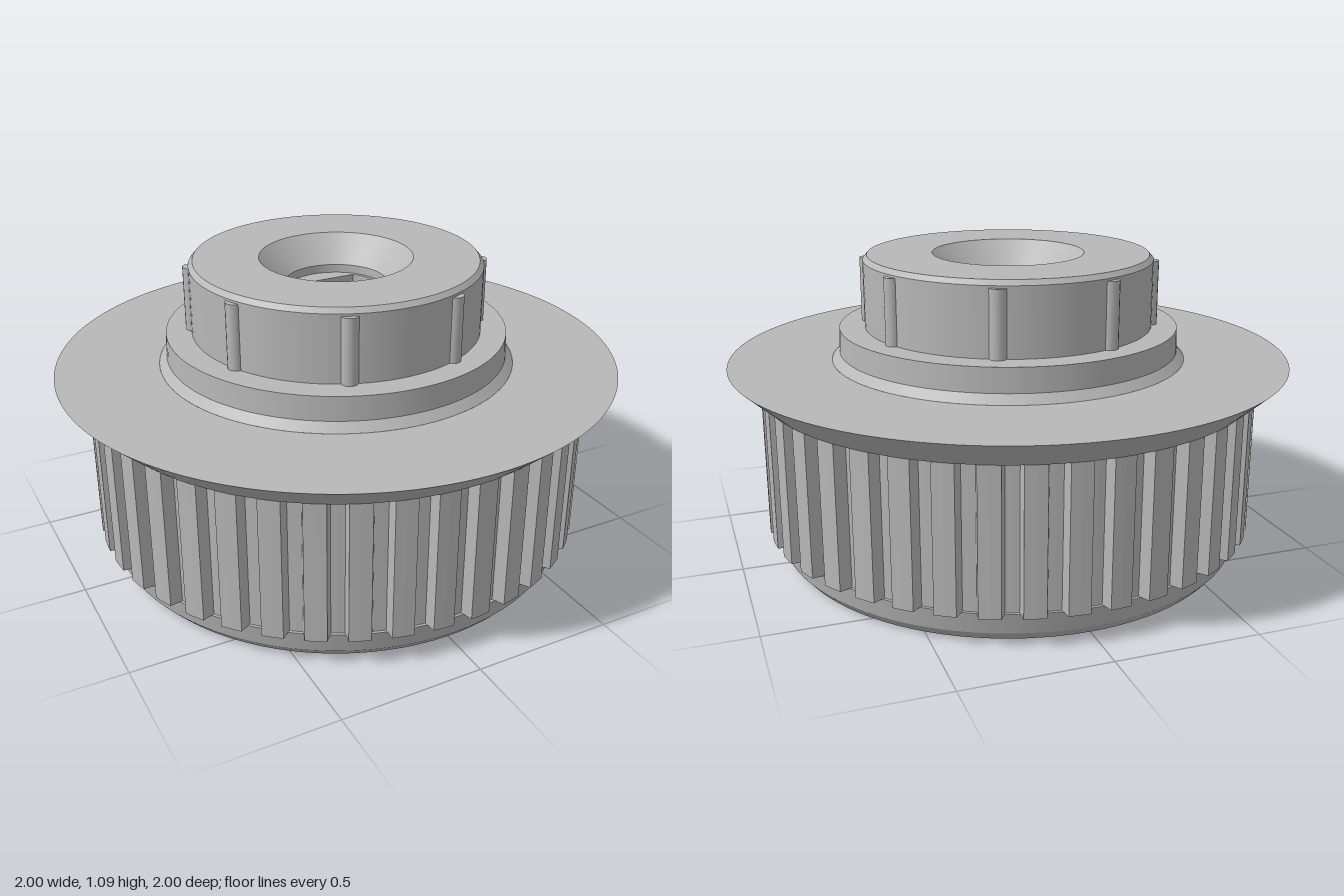
import * as THREE from 'three';
import { mergeGeometries, toCreasedNormals } from 'three/addons/utils/BufferGeometryUtils.js';

const grey = new THREE.MeshStandardMaterial({ color: 0xb8b8b8 });
grey.name = 'plain grey';

// Turned part with a sharp edge at every profile point
function turned(profile, segments = 96) {
  const bands = [];
  for (let i = 0; i < profile.length - 1; i++) {
    const pair = [profile[i], profile[i + 1]].map(([r, y]) => new THREE.Vector2(r, y));
    bands.push(new THREE.LatheGeometry(pair, segments));
  }
  return mergeGeometries(bands);
}

// Plan shape raised from y0 to y1
function raised(shape, y0, y1, curveSegments = 48) {
  return new THREE.ExtrudeGeometry(shape, { depth: y1 - y0, bevelEnabled: false, curveSegments })
    .rotateX(-Math.PI / 2).translate(0, y0, 0);
}

function disc(radius) {
  return new THREE.Shape().absarc(0, 0, radius, 0, Math.PI * 2);
}

// Round shaft hole with two flats
function shaftHole(radius, flat) {
  const a = Math.asin(flat / radius);
  const path = new THREE.Path();
  path.absarc(0, 0, radius, -a, a);
  path.absarc(0, 0, radius, Math.PI - a, Math.PI + a);
  path.closePath();
  return path;
}

// Round bore with four diagonal arms, grown by g
function crossOutline(g) {
  const half = 0.13 + g, tip = 0.74 + g, bore = 0.42 + g, steps = 14;
  const a = Math.asin(half / bore), points = [];
  for (let k = 0; k < 4; k++) {
    const t = Math.PI / 4 + k * Math.PI / 2;
    const c = Math.cos(t), s = Math.sin(t);
    for (const side of [-half, half]) {
      points.push(new THREE.Vector2(tip * c - side * s, tip * s + side * c));
    }
    for (let i = 0; i <= steps; i++) {
      const u = t + a + (Math.PI / 2 - 2 * a) * i / steps;
      points.push(new THREE.Vector2(bore * Math.cos(u), bore * Math.sin(u)));
    }
  }
  return points;
}

// Inward-facing walls through a stack of outlines
function pocketWalls(levels) {
  const pos = [];
  for (let l = 0; l < levels.length - 1; l++) {
    const [lo, y0] = levels[l], [hi, y1] = levels[l + 1];
    for (let i = 0; i < lo.length; i++) {
      const j = (i + 1) % lo.length;
      const A = [lo[i].x, y0, -lo[i].y], B = [lo[j].x, y0, -lo[j].y];
      const C = [hi[j].x, y1, -hi[j].y], D = [hi[i].x, y1, -hi[i].y];
      pos.push(...A, ...C, ...B, ...A, ...D, ...C);
    }
  }
  const geo = new THREE.BufferGeometry();
  geo.setAttribute('position', new THREE.Float32BufferAttribute(pos, 3));
  return toCreasedNormals(geo, 0.4);
}

// Belt tooth outline with a groove centred on each pitch
function toothShape(count, outer, root) {
  const points = [], pitch = Math.PI * 2 / count;
  const steps = [[-0.17, root], [0, root], [0.17, root], [0.24, outer], [0.5, outer], [0.76, outer]];
  for (let i = 0; i < count; i++) {
    for (const [f, r] of steps) {
      const t = (i + f) * pitch;
      points.push(new THREE.Vector2(r * Math.cos(t), r * Math.sin(t)));
    }
  }
  return new THREE.Shape(points);
}

export function createModel() {
  const model = new THREE.Group();
  model.name = 'toothed pulley';
  const add = (name, geometry, parent = model) => {
    const mesh = new THREE.Mesh(geometry, grey);
    mesh.name = name;
    parent.add(mesh);
    return mesh;
  };

  // Chamfered lower rim
  add('lowerRim', turned([[0.81, 0], [0.84, 0.035], [0.855, 0.11], [0.8, 0.11]]));

  // Belt teeth
  const teeth = toothShape(40, 0.89, 0.845);
  teeth.holes.push(disc(0.8));
  add('beltTeeth', raised(teeth, 0.11, 0.615));

  // Flared flange and stepped collar
  add('flange', turned([[0.8, 0.615], [0.89, 0.615], [1, 0.715], [0.635, 0.715]], 128));
  add('collar', turned([[0.635, 0.715], [0.608, 0.745], [0.605, 0.83], [0.5, 0.83]]));

  // Hub with countersunk mouth
  add('hub', turned([[0.515, 0.83], [0.515, 1.068], [0.5, 1.085], [0.27, 1.085], [0.18, 0.99], [0.18, 0.955]]));

  // Small grip ribs round the hub
  const ribs = new THREE.Group();
  ribs.name = 'hubRibs';
  model.add(ribs);
  for (let i = 0; i < 8; i++) {
    const t = Math.PI / 8 + i * Math.PI / 4;
    const rib = add('hubRib', new THREE.CylinderGeometry(0.03, 0.03, 0.23, 16), ribs);
    rib.position.set(0.505 * Math.cos(t), 0.945, 0.505 * Math.sin(t));
  }

  // Inner web and sleeve pierced by the flatted shaft hole
  for (const [name, radius, y0, y1] of [['web', 0.79, 0.5, 0.7], ['shaftSleeve', 0.19, 0.7, 0.96]]) {
    const shape = disc(radius);
    shape.holes.push(shaftHole(0.168, 0.11));
    add(name, raised(shape, y0, y1));
  }

  // Underside face with the cross-shaped pocket
  const mouth = crossOutline(0.04), walls = crossOutline(0);
  const face = disc(0.81);
  face.holes.push(new THREE.Path(mouth));
  const underside = new THREE.ShapeGeometry(face, 96).rotateX(Math.PI / 2);
  underside.scale(1, 1, 1);
  add('underside', underside.rotateY(0));
  add('pocketWalls', pocketWalls([[mouth, 0], [walls, 0.04], [walls, 0.5]]));

  return model;
}
